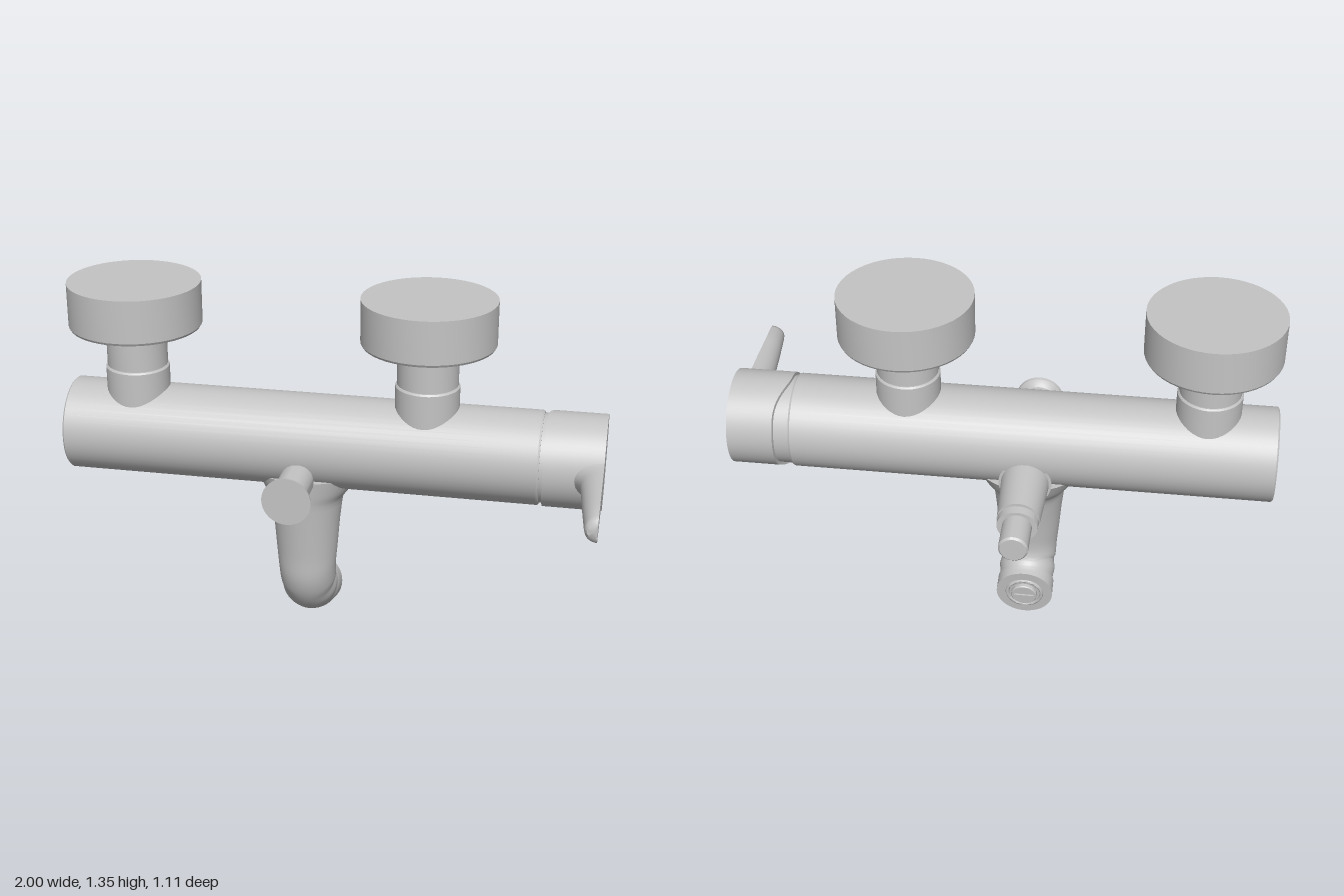
import * as THREE from 'three';
import { toCreasedNormals } from 'three/addons/utils/BufferGeometryUtils.js';

const V = (x, y, z) => new THREE.Vector3(x, y, z);
const AXIS_Y = 0.77, AXIS_Z = -0.012, SPOUT_X = -0.1;

export function createModel() {
  const model = new THREE.Group();
  model.name = 'wallMixerTap';
  const metal = new THREE.MeshStandardMaterial({ color: 0xc4c4c4 });
  metal.name = 'greyMetal';

  const add = (name, geometry, parent = model, crease = 0.5) => {
    const mesh = new THREE.Mesh(toCreasedNormals(geometry, crease), metal);
    mesh.name = name;
    parent.add(mesh);
    return mesh;
  };

  // Turned solid from [radius, distance] pairs, closed at both ends
  const turned = (profile, segments = 40) => {
    const pts = [[0, profile[0][1]], ...profile, [0, profile.at(-1)[1]]];
    return new THREE.LatheGeometry(pts.map(([r, t]) => new THREE.Vector2(r, t)), segments);
  };
  const alongX = (g) => g.rotateZ(-Math.PI / 2);
  const alongFront = (g) => g.rotateX(Math.PI / 2);
  const alongBack = (g) => g.rotateX(-Math.PI / 2);

  // Skin over a row of closed rings, with capped ends
  const loft = (rings) => {
    const n = rings[0].length, last = (rings.length - 1) * n, index = [];
    const pts = rings.flat();
    for (const ring of [rings[0], rings.at(-1)]) {
      pts.push(ring.reduce((s, p) => s.add(p), V(0, 0, 0)).divideScalar(n));
    }
    const c0 = pts.length - 2, c1 = pts.length - 1;
    for (let i = 0; i < n; i++) {
      const j = (i + 1) % n;
      for (let k = 0; k < last; k += n) {
        index.push(k + i, k + n + i, k + j, k + j, k + n + i, k + n + j);
      }
      index.push(c0, i, j, c1, last + j, last + i);
    }
    const g = new THREE.BufferGeometry().setFromPoints(pts);
    g.setIndex(index);
    return g;
  };

  // Main horizontal body
  const barrel = new THREE.Group();
  barrel.name = 'barrel';
  barrel.position.set(0, AXIS_Y, AXIS_Z);
  model.add(barrel);
  add('body', alongX(turned([[0.168, -1], [0.174, -0.994], [0.174, 0.765], [0.17, 0.772]], 48)), barrel);
  add('collar', alongX(turned([[0.164, 0.75], [0.164, 0.9]], 48)), barrel);

  // Control cap, its inner edge swept outward at the back
  const cap = alongX(turned([[0.176, 0.785], [0.176, 1]], 64));
  const pos = cap.attributes.position;
  for (let i = 0; i < pos.count; i++) {
    if (pos.getX(i) < 0.8) {
      pos.setX(i, 0.785 + 0.045 * THREE.MathUtils.smoothstep(-pos.getZ(i), -0.02, 0.15));
    }
  }
  add('controlCap', cap, barrel);

  // Lever: flat outside, rounded inside; [z, bottom, top, thickness]
  const lever = [
    [0.09, 0.66, 0.86, 0.13], [0.14, 0.672, 0.842, 0.118], [0.155, 0.695, 0.835, 0.11],
    [0.175, 0.708, 0.832, 0.09], [0.21, 0.709, 0.83, 0.077], [0.3, 0.71, 0.827, 0.069],
    [0.42, 0.713, 0.821, 0.058], [0.525, 0.716, 0.816, 0.047], [0.545, 0.724, 0.808, 0.044],
    [0.555, 0.742, 0.79, 0.036],
  ].map(([z, y0, y1, w]) => Array.from({ length: 32 }, (_, i) => {
    const a = (i / 32) * Math.PI * 2;
    return V(1 + w * Math.min(0, Math.sin(a)), (y0 + y1) / 2 + ((y1 - y0) / 2) * Math.cos(a), z);
  }));
  add('lever', loft(lever), model, 0.7);

  // Two wall connections with round flanges
  for (const [x, side] of [[-0.745, 'right'], [0.347, 'left']]) {
    const inlet = new THREE.Group();
    inlet.name = side + 'Inlet';
    inlet.position.set(x, 0, AXIS_Z + 0.004);
    model.add(inlet);
    add('inletSocket', turned([[0.118, 0.8], [0.118, 1.022], [0.113, 1.028]]), inlet);
    add('inletNut', turned([[0.112, 1.03], [0.112, 1.156], [0.108, 1.16]]), inlet);
    add('inletNeck', turned([[0.098, 1.15], [0.098, 1.2]]), inlet);
    add('flange', turned([[0.232, 1.178], [0.241, 1.181], [0.246, 1.19], [0.246, 1.35]], 48), inlet);
  }

  // Spout: front edge, back edge and half width down its length
  const front = [[0.66, 0.155], [0.595, 0.146], [0.555, 0.14], [0.45, 0.128], [0.32, 0.114], [0.22, 0.105],
    [0.145, 0.078], [0.08, 0.03], [0.035, -0.035], [0.004, -0.13]];
  const back = [[0.66, -0.2], [0.595, -0.17], [0.55, -0.142], [0.46, -0.121], [0.36, -0.104], [0.295, -0.097],
    [0.262, -0.1], [0.24, -0.111], [0.226, -0.13], [0.218, -0.156]];
  const width = [0.2, 0.166, 0.137, 0.125, 0.116, 0.109, 0.107, 0.107, 0.107, 0.108];
  const curve = (pts) => new THREE.CatmullRomCurve3(pts);
  const frontCurve = curve(front.map(([y, z]) => V(SPOUT_X, y, z)));
  const backCurve = curve(back.map(([y, z]) => V(SPOUT_X, y, z)));
  const widthCurve = curve(width.map((w) => V(w, 0, 0)));
  const spoutRings = Array.from({ length: 37 }, (_, k) => {
    const f = frontCurve.getPoint(k / 36), b = backCurve.getPoint(k / 36);
    const w = widthCurve.getPoint(k / 36).x;
    return Array.from({ length: 40 }, (_, i) => {
      const a = (i / 40) * Math.PI * 2;
      const p = b.clone().lerp(f, 0.5 + 0.5 * Math.cos(a));
      p.x += w * Math.sin(a);
      return p;
    });
  });
  add('spout', loft(spoutRings));

  // Water outlet insert in the mouth of the spout
  const outlet = new THREE.Group();
  outlet.name = 'outlet';
  outlet.position.set(SPOUT_X, 0.111, -0.143);
  outlet.lookAt(SPOUT_X, 0.111 - 0.12, -0.143 - 1);
  model.add(outlet);
  add('outletRim', new THREE.TorusGeometry(0.066, 0.007, 8, 36), outlet, 1);
  add('outletDisc', alongFront(turned([[0.05, -0.01], [0.05, 0.012], [0.046, 0.016]])), outlet);
  add('outletBar', new THREE.BoxGeometry(0.075, 0.014, 0.02).translate(0, 0, 0.012), outlet);

  // Front diverter knob
  const knob = add('diverterKnob', alongFront(turned([
    [0.052, 0.1], [0.052, 0.182], [0.063, 0.182], [0.063, 0.335], [0.07, 0.343], [0.088, 0.352], [0.09, 0.363],
  ])));
  knob.position.set(SPOUT_X, 0.685, 0);

  // Rear hose connection
  const hose = new THREE.Group();
  hose.name = 'hoseConnection';
  hose.position.set(SPOUT_X - 0.002, 0.681, 0);
  model.add(hose);
  add('hoseBase', alongBack(turned([[0.097, 0.08], [0.097, 0.182]])), hose);
  add('hoseCone', alongBack(turned([[0.089, 0.15], [0.077, 0.395]])), hose);
  add('hoseCollar', alongBack(turned([[0.075, 0.38], [0.073, 0.43]])).scale(1, 0.89, 1), hose);
  add('hosePin', alongBack(turned([[0.053, 0.42], [0.053, 0.548], [0.046, 0.555]])), hose);

  return model;
}
